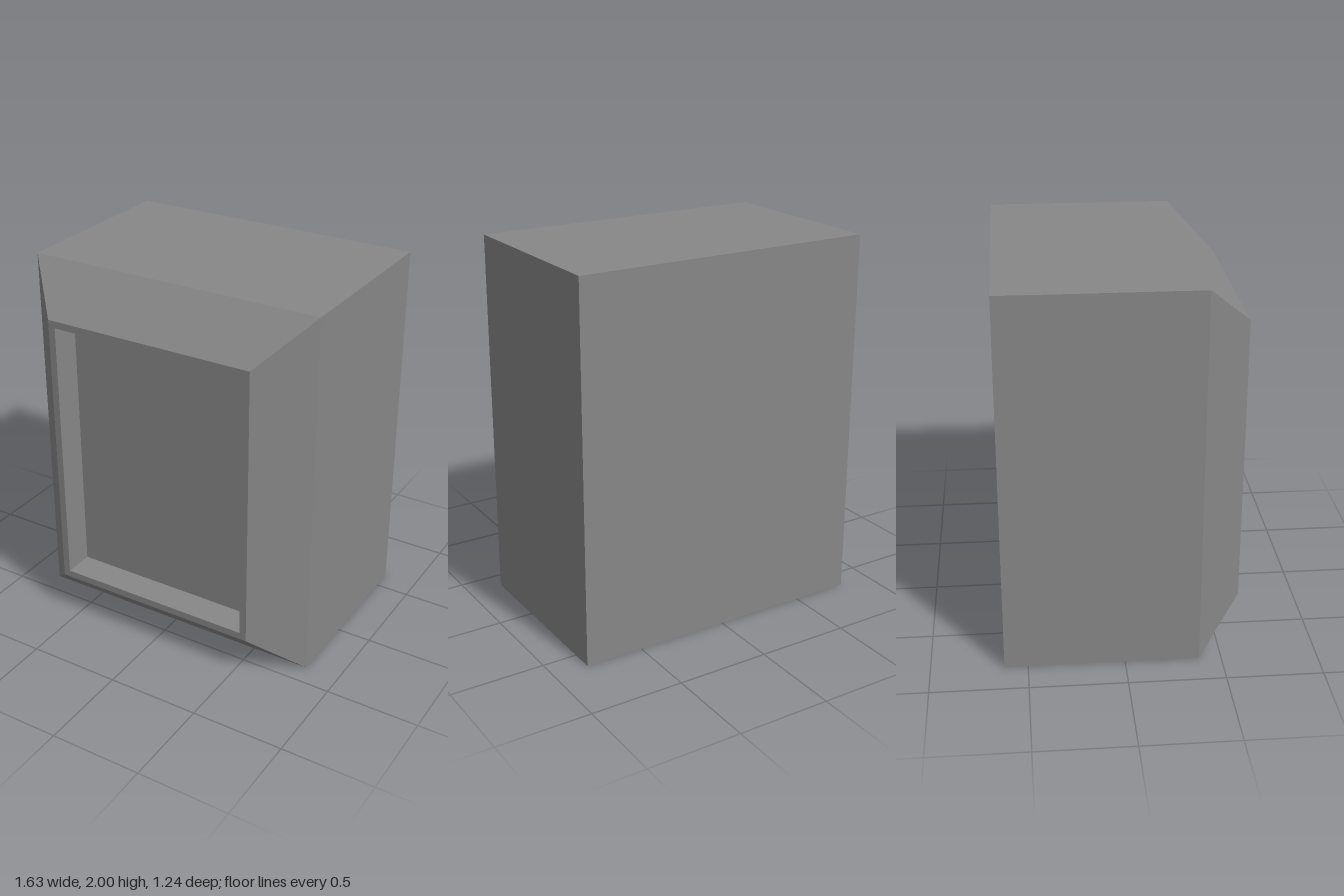
import * as THREE from 'three';

const material = new THREE.MeshStandardMaterial({ color: 0x878787, flatShading: true });

// Rectangular sections: half width, half height, z (all centred on y = 1)
const back = [0.814, 1, -0.622];
const shoulder = [0.814, 1, 0.385];
const face = [0.58, 0.766, 0.622];
const opening = [0.542, 0.728, 0.622];
const recessEnd = [0.542, 0.728, 0.46];

// Corners counter-clockwise as seen from the front
const corners = ([w, h, z]) => [[-w, 1 - h, z], [w, 1 - h, z], [w, 1 + h, z], [-w, 1 + h, z]];

// Four flat walls joining one rectangular section to the next
function band(name, from, to) {
  const a = corners(from), b = corners(to), points = [];
  for (let i = 0; i < 4; i++) {
    const j = (i + 1) % 4;
    points.push(...a[i], ...a[j], ...b[j], ...a[i], ...b[j], ...b[i]);
  }
  const geometry = new THREE.BufferGeometry();
  geometry.setAttribute('position', new THREE.Float32BufferAttribute(points, 3));
  geometry.computeVertexNormals();
  const mesh = new THREE.Mesh(geometry, material);
  mesh.name = name;
  return mesh;
}

// Flat rectangle closing a section
function panel(name, [w, h, z], facesBack = false) {
  const mesh = new THREE.Mesh(new THREE.PlaneGeometry(2 * w, 2 * h), material);
  mesh.position.set(0, 1, z);
  if (facesBack) mesh.rotation.y = Math.PI;
  mesh.name = name;
  return mesh;
}

export function createModel() {
  const model = new THREE.Group();
  model.name = 'bevelledCabinet';
  model.add(
    // Box-shaped housing
    panel('backPanel', back, true),
    band('housingWalls', back, shoulder),
    // Sloping front frame and its narrow flat rim
    band('frontBevel', shoulder, face),
    band('frontRim', face, opening),
    // Recessed front panel
    band('recessWalls', opening, recessEnd),
    panel('recessedPanel', recessEnd),
  );
  return model;
}
